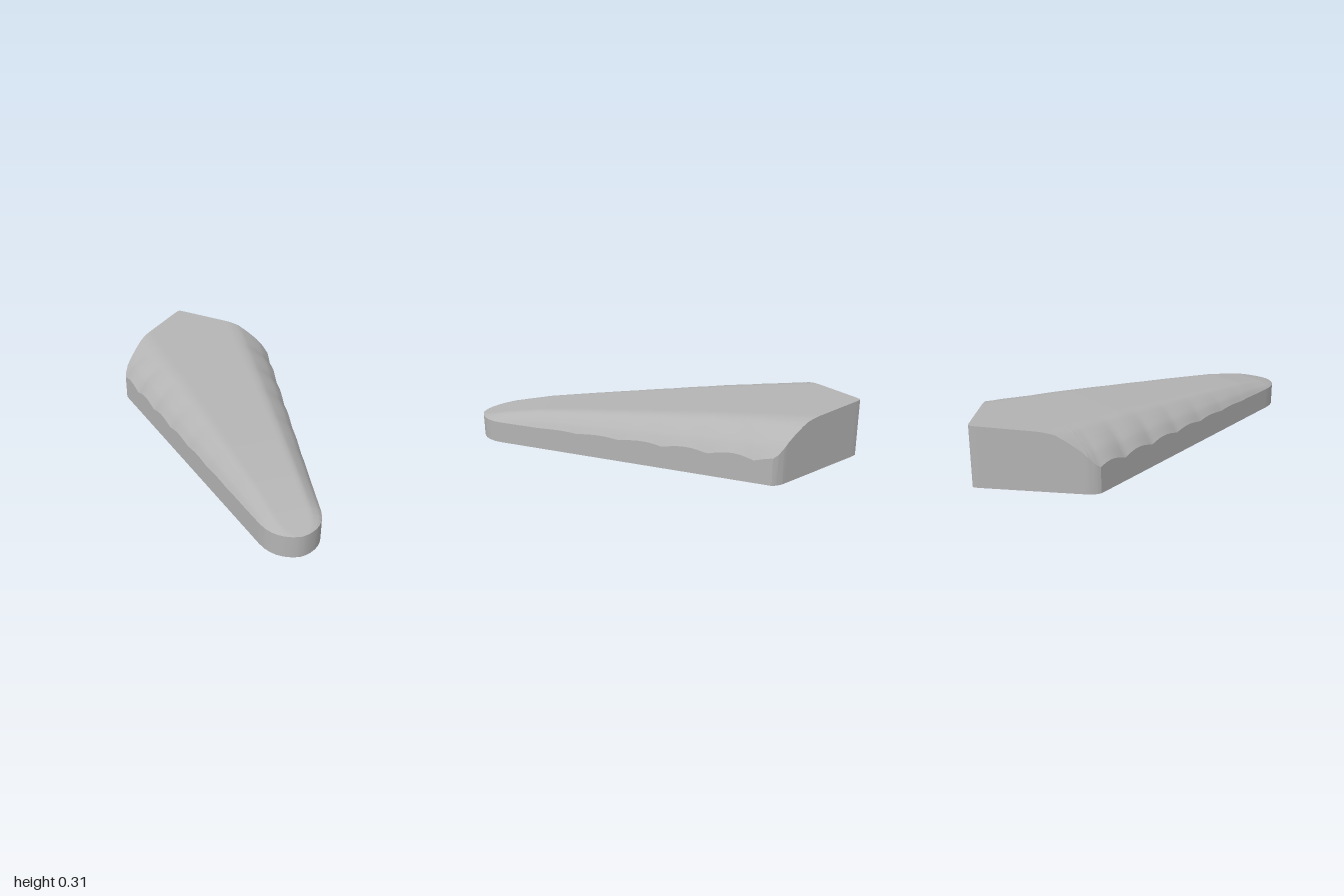
import * as THREE from 'three';
import { toCreasedNormals } from 'three/addons/utils/BufferGeometryUtils.js';

// Piecewise-linear lookup through [position, value] pairs
function lookup(pairs, p) {
  if (p <= pairs[0][0]) return pairs[0][1];
  for (let i = 1; i < pairs.length; i++) {
    const [a, va] = pairs[i - 1], [b, vb] = pairs[i];
    if (p <= b) return va + (vb - va) * (p - a) / (b - a);
  }
  return pairs[pairs.length - 1][1];
}

// Half width of the kite outline along z, from back point to rounded nose
const outline = [[-1, 0.005], [-0.985, 0.025], [-0.64, 0.41], [-0.615, 0.427], [-0.59, 0.435],
  [0.86, 0.148], [0.9, 0.136], [0.93, 0.12], [0.955, 0.1], [0.975, 0.075], [0.99, 0.045], [0.997, 0.022], [1, 0.003]];
// Height of the centre line along z
const crest = [[-1, 0.305], [-0.75, 0.291], [-0.3, 0.265], [0, 0.241], [0.4, 0.208], [0.65, 0.185],
  [0.85, 0.153], [0.93, 0.133], [1, 0.114]];
// Rise from rim (0) to crest (1) across the section
const section = [[0, 1], [0.52, 1], [0.58, 0.975], [0.65, 0.925], [0.77, 0.7], [0.9, 0.4], [1, 0]];

function rimHeight(side, z) {
  const fade = THREE.MathUtils.clamp((0.75 - z) / 1.3, 0, 1);
  const wave = Math.abs(Math.sin(Math.PI * (z + (side > 0 ? 0.5 : 0.42)) / (side > 0 ? 0.23 : 0.2)));
  return 0.115 + 0.003 * fade + 0.026 * fade * wave;
}

function topHeight(x, z) {
  // Behind the shoulders the section keeps widening and is cut by the back walls
  const width = z < -0.59 ? 0.435 - 0.2 * (z + 0.59) : lookup(outline, z);
  const rim = rimHeight(x, Math.max(z, -0.59));
  return rim + (lookup(crest, z) - rim) * lookup(section, Math.abs(x) / width);
}

function grid(rows) {
  const cols = rows[0].length, index = [];
  for (let i = 0; i < rows.length - 1; i++) {
    for (let j = 0; j < cols - 1; j++) {
      const a = i * cols + j, b = a + cols;
      index.push(a, b, a + 1, a + 1, b, b + 1);
    }
  }
  const geometry = new THREE.BufferGeometry();
  geometry.setAttribute('position', new THREE.Float32BufferAttribute(rows.flat(2), 3));
  geometry.setIndex(index);
  geometry.computeVertexNormals();
  return geometry;
}

export function createModel() {
  const group = new THREE.Group();
  group.name = 'taperedBlock';
  const grey = new THREE.MeshStandardMaterial({ color: 0xb4b4b4 });
  grey.name = 'grey';
  const add = (name, geometry) => {
    const mesh = new THREE.Mesh(geometry, grey);
    mesh.name = name;
    group.add(mesh);
  };

  // Stations along z: even steps plus every outline corner
  const stations = outline.map(p => p[0]);
  for (let i = 1; i < 100; i++) stations.push(-1 + i * 0.02 + 0.0013);
  stations.sort((a, b) => a - b);

  // Domed top with scalloped rim
  const columns = 48;
  const rows = stations.map(z => Array.from({ length: columns + 1 }, (_, j) => {
    const x = (j / columns * 2 - 1) * lookup(outline, z);
    return [x, topHeight(x, z), z];
  }));
  add('domedTop', grid(rows));

  // Upright walls follow the rim all the way round
  const right = rows.map(r => r[columns]);
  const left = rows.map(r => r[0]).reverse();
  const rim = [...right, ...left, right[0]];
  const foot = rim.map(([x, , z]) => [x, 0, z]);
  add('sideWalls', toCreasedNormals(grid([foot, rim]), Math.PI / 7));

  // Flat underside
  const base = new THREE.ShapeGeometry(new THREE.Shape(
    foot.slice(0, -1).map(([x, , z]) => new THREE.Vector2(x, z))));
  base.rotateX(Math.PI / 2);
  add('underside', base);

  return group;
}
